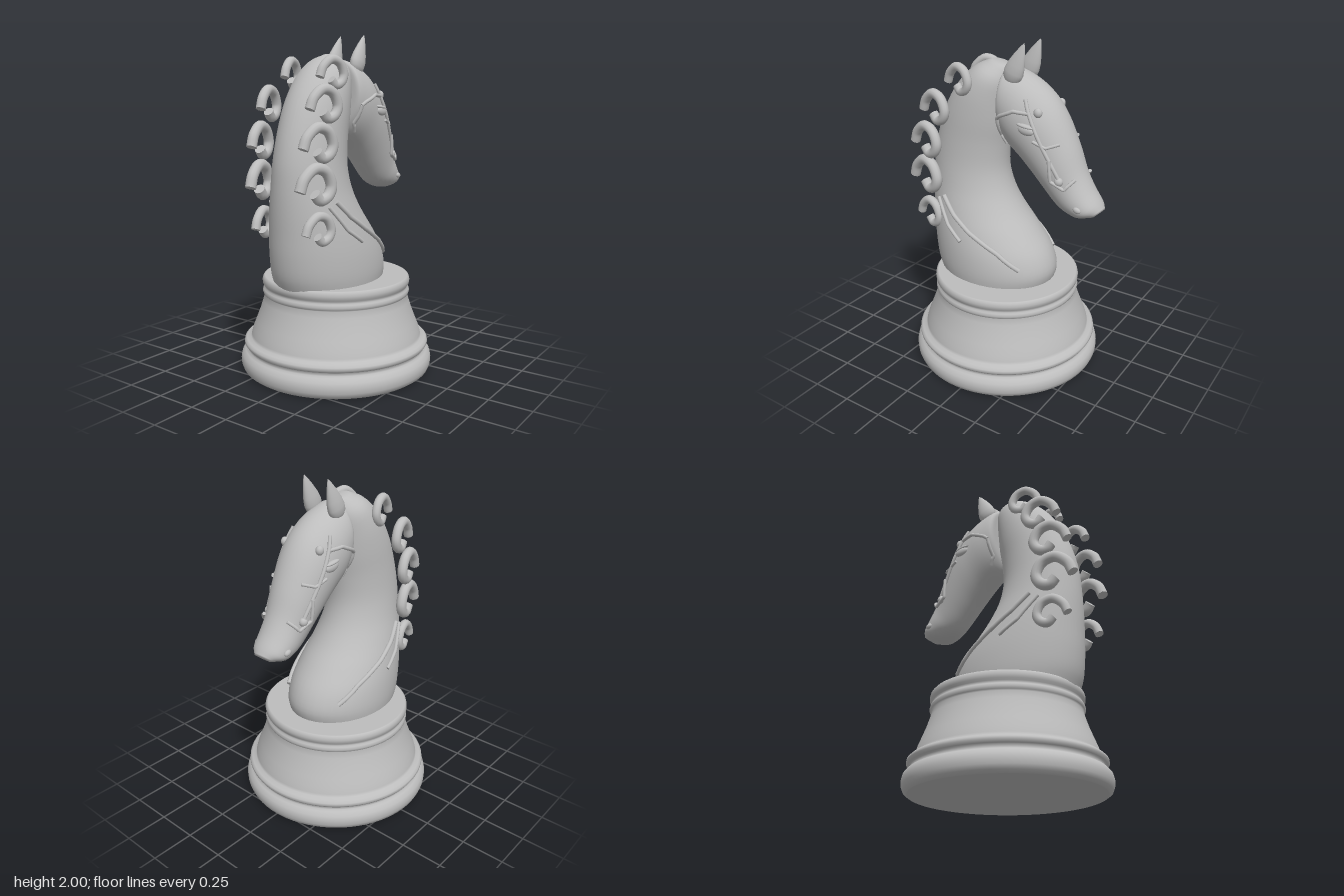
import * as THREE from 'three';

const stone = new THREE.MeshStandardMaterial({ color: 0xbdbdbd });
stone.name = 'grey stone';
const V = (x, y, z = 0) => new THREE.Vector3(x, y, z);

// Sections are [frontX, frontY, backX, backY, halfWidth]
const NECK = [
  [0.27, 0.53, -0.465, 0.53, 0.29], [0.295, 0.63, -0.5, 0.62, 0.3],
  [0.26, 0.74, -0.518, 0.74, 0.295], [0.17, 0.86, -0.525, 0.87, 0.275],
  [0.07, 0.98, -0.53, 1.0, 0.245], [0.0, 1.1, -0.53, 1.13, 0.215],
  [-0.035, 1.23, -0.52, 1.28, 0.195], [-0.03, 1.38, -0.48, 1.45, 0.185],
  [-0.01, 1.51, -0.41, 1.62, 0.18], [0.0, 1.63, -0.31, 1.76, 0.165],
  [0.01, 1.75, -0.21, 1.842, 0.13], [0.0, 1.845, -0.12, 1.878, 0.05],
];
const HEAD = [
  [-0.01, 1.56, -0.01, 1.8, 0.08], [-0.012, 1.47, 0.0, 1.85, 0.15],
  [0.01, 1.42, 0.13, 1.815, 0.172], [0.12, 1.32, 0.25, 1.74, 0.172],
  [0.19, 1.25, 0.335, 1.645, 0.163], [0.25, 1.185, 0.43, 1.465, 0.145],
  [0.34, 1.095, 0.49, 1.315, 0.125], [0.4, 1.065, 0.54, 1.225, 0.12],
  [0.47, 1.05, 0.59, 1.155, 0.105], [0.56, 1.068, 0.612, 1.115, 0.055],
];

function sectionAt(rows) {
  const front = new THREE.CatmullRomCurve3(rows.map(r => V(r[0], r[1], r[4])));
  const back = new THREE.CatmullRomCurve3(rows.map(r => V(r[2], r[3], r[4])));
  return t => {
    const f = front.getPoint(t), b = back.getPoint(t);
    return { c: V((f.x + b.x) / 2, (f.y + b.y) / 2), h: V((f.x - b.x) / 2, (f.y - b.y) / 2), w: f.z };
  };
}

// Skin elliptical rings along a chain of sections, closing both ends
function loft(rows, steps = 44, n = 40) {
  const at = sectionAt(rows), pos = [], idx = [];
  for (let i = 0; i <= steps; i++) {
    const s = at(i / steps);
    for (let j = 0; j < n; j++) {
      const a = (j / n) * Math.PI * 2, u = Math.cos(a);
      pos.push(s.c.x + s.h.x * u, s.c.y + s.h.y * u, s.w * Math.sin(a));
    }
  }
  const first = (steps + 1) * n, last = first + 1;
  for (const t of [0, 1]) pos.push(...at(t).c.toArray());
  for (let j = 0; j < n; j++) {
    const k = (j + 1) % n;
    for (let i = 0; i < steps; i++) {
      const a = i * n + j, d = i * n + k;
      idx.push(a, a + n, d, d, a + n, d + n);
    }
    idx.push(first, j, k, last, steps * n + k, steps * n + j);
  }
  const g = new THREE.BufferGeometry();
  g.setAttribute('position', new THREE.Float32BufferAttribute(pos, 3));
  g.setIndex(idx);
  g.computeVertexNormals();
  return g;
}

// Half width of a lofted body at a point of its side outline
function surfaceZ(rows, x, y) {
  const at = sectionAt(rows);
  let best = Infinity, z = 0;
  for (let i = 0; i <= 200; i++) {
    const { c, h, w } = at(i / 200), len = h.length();
    const dx = x - c.x, dy = y - c.y;
    const u = Math.min(1, Math.abs(dx * h.x + dy * h.y) / (len * len));
    const off = Math.abs(dx * h.y - dy * h.x) / len + (u === 1 ? 0.02 : 0);
    if (off < best) { best = off; z = w * Math.sqrt(1 - u * u); }
  }
  return z;
}

function add(parent, name, geometry) {
  const m = new THREE.Mesh(geometry, stone);
  m.name = name;
  parent.add(m);
  return m;
}

// Round rod with flat closed ends
function rod(parent, name, points, radius, tension, segs) {
  const g = new THREE.Group();
  g.name = name;
  const curve = new THREE.CatmullRomCurve3(points, false, 'catmullrom', tension);
  add(g, name + 'Rod', new THREE.TubeGeometry(curve, segs, radius, 12));
  for (const t of [0, 1]) {
    const cap = add(g, name + 'End', new THREE.CircleGeometry(radius, 12));
    const p = curve.getPoint(t), d = curve.getTangent(t).multiplyScalar(t ? 1 : -1);
    cap.position.copy(p);
    cap.quaternion.setFromUnitVectors(V(0, 0, 1), d);
  }
  parent.add(g);
}

function strap(parent, name, rows, side, path, radius = 0.011, lift = 0.006) {
  // Subdivide so that the strap follows the body
  const pts = [];
  path.forEach(([x, y], i) => {
    const q = path[i + 1];
    const n = q ? 3 : 1;
    for (let k = 0; k < n; k++) {
      const px = q ? x + (q[0] - x) * k / n : x, py = q ? y + (q[1] - y) * k / n : y;
      pts.push(V(px, py, side * (surfaceZ(rows, px, py) + lift)));
    }
  });
  rod(parent, name, pts, radius, 0.2, pts.length * 4);
}

function stud(parent, name, side, x, y, size, tilt = 0) {
  const m = add(parent, name, new THREE.SphereGeometry(1, 20, 14));
  m.scale.set(...size);
  m.position.set(x, y, side * surfaceZ(HEAD, x, y));
  m.rotation.z = tilt;
}

export function createModel() {
  const model = new THREE.Group();
  model.name = 'horseChessPiece';

  // Turned pedestal: hard corners are separated by tiny steps
  const profile = [
    [0, 0], [0.545, 0], [0.55, 0.001], [0.57, 0.015], [0.58, 0.04], [0.582, 0.07], [0.575, 0.098],
    [0.555, 0.12], [0.54, 0.127], [0.54, 0.145], [0.55, 0.15], [0.56, 0.165], [0.558, 0.18],
    [0.545, 0.192], [0.52, 0.198], [0.515, 0.215], [0.505, 0.25], [0.485, 0.3], [0.462, 0.36],
    [0.443, 0.42], [0.433, 0.458], [0.441, 0.465], [0.446, 0.48], [0.441, 0.495], [0.433, 0.502],
    [0.434, 0.515], [0.444, 0.525], [0.447, 0.545], [0.443, 0.562], [0.435, 0.571], [0.43, 0.572], [0, 0.572],
  ].map(p => new THREE.Vector2(...p));
  add(model, 'pedestal', new THREE.LatheGeometry(profile, 80)).position.x = -0.03;

  add(model, 'neck', loft(NECK));
  add(model, 'head', loft(HEAD));

  // Curl centre x, y, z and scale
  const curls = [
    [-0.26, 1.77, 0.145, 0.85], [-0.4, 1.6, 0.195, 0.95], [-0.465, 1.395, 0.205, 1],
    [-0.48, 1.175, 0.2, 1.06], [-0.46, 0.93, 0.2, 0.87],
  ];
  const spiral = [[-0.108, -0.035], [-0.08, 0.03], [-0.015, 0.078], [0.055, 0.058], [0.09, -0.01],
    [0.07, -0.065], [0.02, -0.085], [-0.015, -0.05]];
  // Ear outline from root to tip
  const earProfile = [[0, 0], [0.035, 0.01], [0.056, 0.04], [0.06, 0.075], [0.052, 0.12], [0.034, 0.175],
    [0.014, 0.225], [0, 0.25]].map(p => new THREE.Vector2(...p));

  for (const s of [1, -1]) {
    const label = s > 0 ? 'front' : 'rear';

    const ear = add(model, label + 'Ear', new THREE.LatheGeometry(earProfile, 24));
    ear.position.set(0.045, 1.768, s * 0.085);
    ear.rotation.z = -0.39;
    ear.scale.z = 0.62;

    for (const [x, y, z, k] of curls) {
      const pts = spiral.map(([u, v]) => V(x + u * k, y + v * k, s * (z + u * k * 0.24)));
      rod(model, label + 'ManeCurl', pts, 0.03 * k, 0.5, 48);
    }

    // Reins over the shoulder
    strap(model, label + 'LongRein', NECK, s,
      [[-0.335, 1.065], [-0.24, 0.97], [-0.12, 0.89], [0.06, 0.79], [0.185, 0.695]], 0.014);
    strap(model, label + 'ShortRein', NECK, s, [[-0.385, 1.04], [-0.28, 0.9], [-0.175, 0.825]], 0.011);

    // Bridle
    strap(model, label + 'CheekStrap', HEAD, s, [[0.18, 1.71], [0.21, 1.645], [0.3, 1.47], [0.395, 1.3]]);
    strap(model, label + 'BrowBand', HEAD, s, [[0.01, 1.585], [0.035, 1.605], [0.125, 1.645], [0.21, 1.64]]);
    strap(model, label + 'ThroatStrap', HEAD, s, [[0.01, 1.585], [0.005, 1.48], [0.03, 1.43]]);
    strap(model, label + 'NoseBand', HEAD, s, [[0.25, 1.495], [0.32, 1.465], [0.38, 1.485]], 0.009);
    strap(model, label + 'Bit', HEAD, s,
      [[0.345, 1.4], [0.355, 1.28], [0.43, 1.24], [0.475, 1.295]], 0.01, 0.014);
    stud(model, label + 'BitRing', s, 0.395, 1.28, [0.026, 0.026, 0.024]);
    stud(model, label + 'Rosette', s, 0.255, 1.645, [0.025, 0.027, 0.022]);

    // Face
    stud(model, label + 'Eye', s, 0.205, 1.55, [0.05, 0.027, 0.018], -0.12);
    stud(model, label + 'Eyelid', s, 0.2, 1.573, [0.055, 0.012, 0.02], -0.12);
    stud(model, label + 'Nostril', s, 0.505, 1.13, [0.024, 0.017, 0.014], -0.3);
  }
  return model;
}
